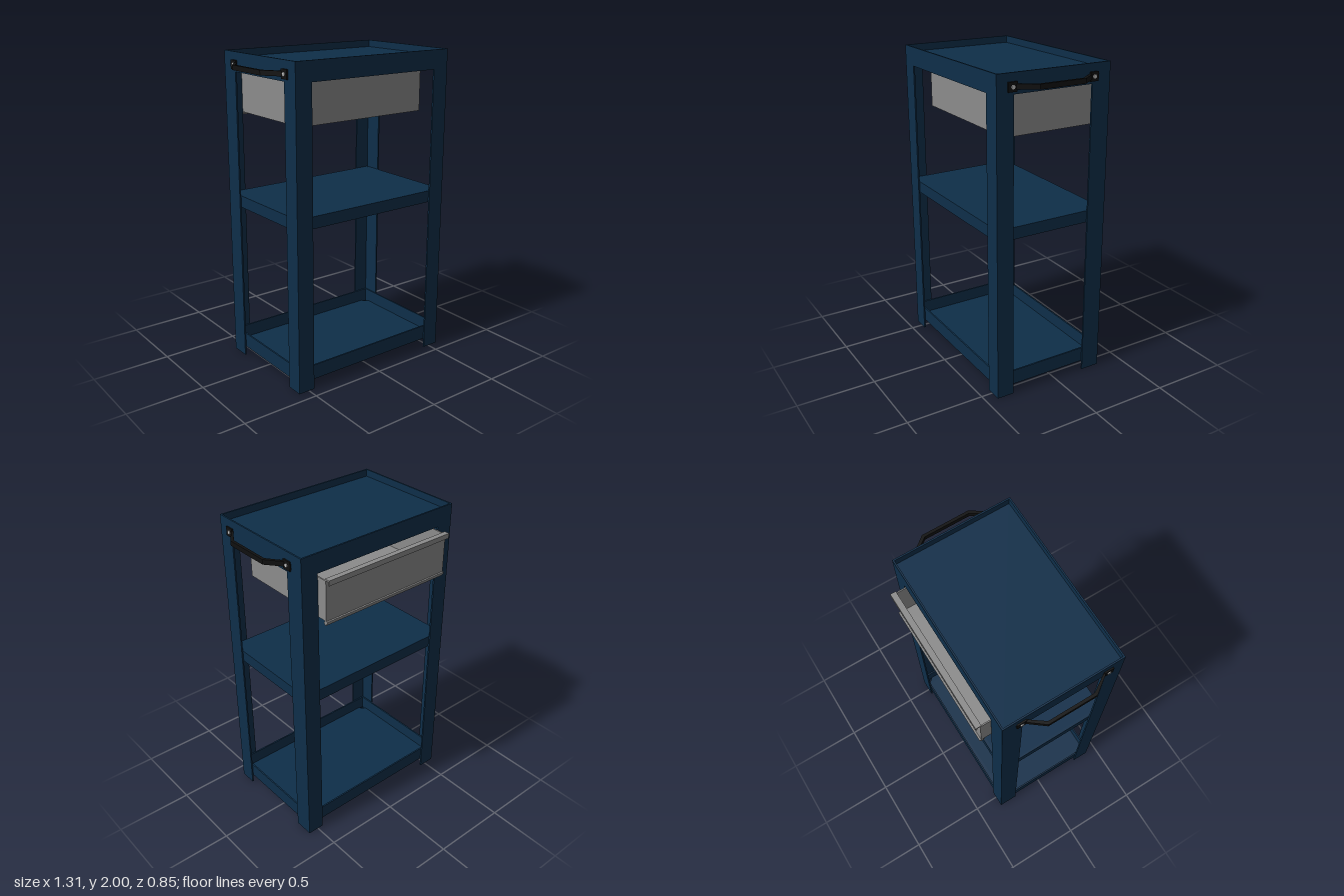
import * as THREE from 'three';

const mat = (name, color) => Object.assign(
  new THREE.MeshStandardMaterial({ color, side: THREE.DoubleSide }), { name });

export function createModel() {
  const model = new THREE.Group();
  model.name = 'serviceCart';
  const blue = mat('navyPaint', 0x0e2e49);
  const steel = mat('steelGray', 0x8c8c8c);
  const black = mat('blackHandle', 0x101010);
  const bolt = mat('boltSilver', 0xc4c4c4);

  const X = 0.57, ZF = 0.425, ZB = -0.335, T = 0.01, TOP = 1.88;

  const add = (parent, name, geo, material) => {
    const m = new THREE.Mesh(geo, material);
    m.name = name;
    parent.add(m);
    return m;
  };
  // box given by its two extreme corners
  const box = (parent, name, material, x0, x1, y0, y1, z0, z1) => {
    const m = add(parent, name, new THREE.BoxGeometry(x1 - x0, y1 - y0, z1 - z0), material);
    m.position.set((x0 + x1) / 2, (y0 + y1) / 2, (z0 + z1) / 2);
    return m;
  };
  // plan outline as [x, z] pairs, extruded upwards from y0 to y1
  const prism = (parent, name, material, pts, y0, y1) => {
    const shape = new THREE.Shape(pts.map(([x, z]) => new THREE.Vector2(x, -z)));
    const geo = new THREE.ExtrudeGeometry(shape, { depth: y1 - y0, bevelEnabled: false });
    geo.rotateX(-Math.PI / 2);
    geo.translate(0, y0, 0);
    return add(parent, name, geo, material);
  };

  // angle-section corner posts
  for (const sx of [-1, 1]) {
    for (const [zo, sz, depth] of [[ZF, 1, 0.11], [ZB, -1, 0.125]]) {
      const pts = [[0, 0], [0.11, 0], [0.11, T], [T, T], [T, depth], [0, depth]]
        .map(([a, b]) => [sx * (X - a), zo - sz * b]);
      prism(model, sz > 0 ? 'frontPost' : 'backPost', blue, pts, 0, TOP);
    }
  }

  // sheet-metal shelf: four edge walls and a plate with clipped corners
  const shelf = (name, y0, y1, plateY, inset, clip) => {
    const g = new THREE.Group();
    g.name = name;
    model.add(g);
    const x = X - inset, f = ZF - inset, b = ZB + inset;
    box(g, 'frontWall', blue, -x, x, y0, y1, f - T, f);
    box(g, 'backWall', blue, -x, x, y0, y1, b, b + T);
    for (const s of [-1, 1]) {
      box(g, 'sideWall', blue, s * (x - T / 2) - T / 2, s * (x - T / 2) + T / 2, y0, y1, b + T, f - T);
    }
    const px = x - T, pf = f - T, pb = b + T, c = clip;
    prism(g, 'plate', blue, [
      [-px + c, pf], [px - c, pf], [px, pf - c], [px, pb + c],
      [px - c, pb], [-px + c, pb], [-px, pb + c], [-px, pf - c],
    ], plateY, plateY + T);
  };
  shelf('bottomShelf', 0.06, 0.155, 0.06, T, 0.04);
  shelf('middleShelf', 1.03, 1.105, 1.095, T, 0.01);
  shelf('topTray', TOP, 2, 1.945, 0, 0.004);

  // open drawer with a folded face at the back
  const drawer = new THREE.Group();
  drawer.name = 'drawer';
  model.add(drawer);
  const dx = 0.458, dz0 = -0.4, dz1 = 0.305, d0 = 1.61, d1 = 1.86;
  box(drawer, 'drawerFloor', steel, -dx, dx, d0, d0 + 0.008, dz0, dz1);
  box(drawer, 'drawerInnerEnd', steel, -dx, dx, d0, d1, dz1 - 0.008, dz1);
  for (const s of [-1, 1]) {
    box(drawer, 'drawerSide', steel, s * (dx - 0.004) - 0.004, s * (dx - 0.004) + 0.004, d0, d1, dz0, dz1);
  }
  // face profile as [z, y]: hooked top lip, flat face, angled bottom lip
  const face = [
    [-0.4, 1.61], [-0.4, 1.862], [-0.418, 1.862], [-0.42, 1.84], [-0.428, 1.84],
    [-0.428, 1.872], [-0.394, 1.872], [-0.394, 1.868], [-0.392, 1.868], [-0.392, 1.612],
    [-0.378, 1.594], [-0.395, 1.58], [-0.411, 1.604], [-0.411, 1.61],
  ];
  const faceShape = new THREE.Shape(face.map(([z, y]) => new THREE.Vector2(-z, y)));
  const faceGeo = new THREE.ExtrudeGeometry(faceShape, { depth: 2 * dx, bevelEnabled: false });
  faceGeo.rotateY(Math.PI / 2);
  faceGeo.translate(-dx, 0, 0);
  add(drawer, 'drawerFace', faceGeo, steel);

  // bent side handles with bolted pads
  for (const s of [-1, 1]) {
    const h = new THREE.Group();
    h.name = s > 0 ? 'leftHandle' : 'rightHandle';
    model.add(h);
    const bar = [
      [0.57, -0.25], [0.578, -0.25], [0.578, -0.2], [0.653, -0.105], [0.653, 0.2],
      [0.578, 0.305], [0.578, 0.355], [0.57, 0.355], [0.57, 0.295], [0.635, 0.192],
      [0.635, -0.097], [0.57, -0.185],
    ].map(([x, z]) => [s * x, z]);
    prism(h, 'handleBar', black, bar, 1.908, 1.938);
    for (const z of [-0.218, 0.326]) {
      const x0 = s > 0 ? X : -X - 0.009;
      box(h, 'handlePad', black, x0, x0 + 0.009, 1.895, 1.951, z - 0.029, z + 0.029);
      const b = add(h, 'handleBolt', new THREE.CylinderGeometry(0.012, 0.012, 0.006, 12), bolt);
      b.rotation.z = Math.PI / 2;
      b.position.set(s * (X + 0.011), 1.923, z);
    }
  }
  return model;
}
